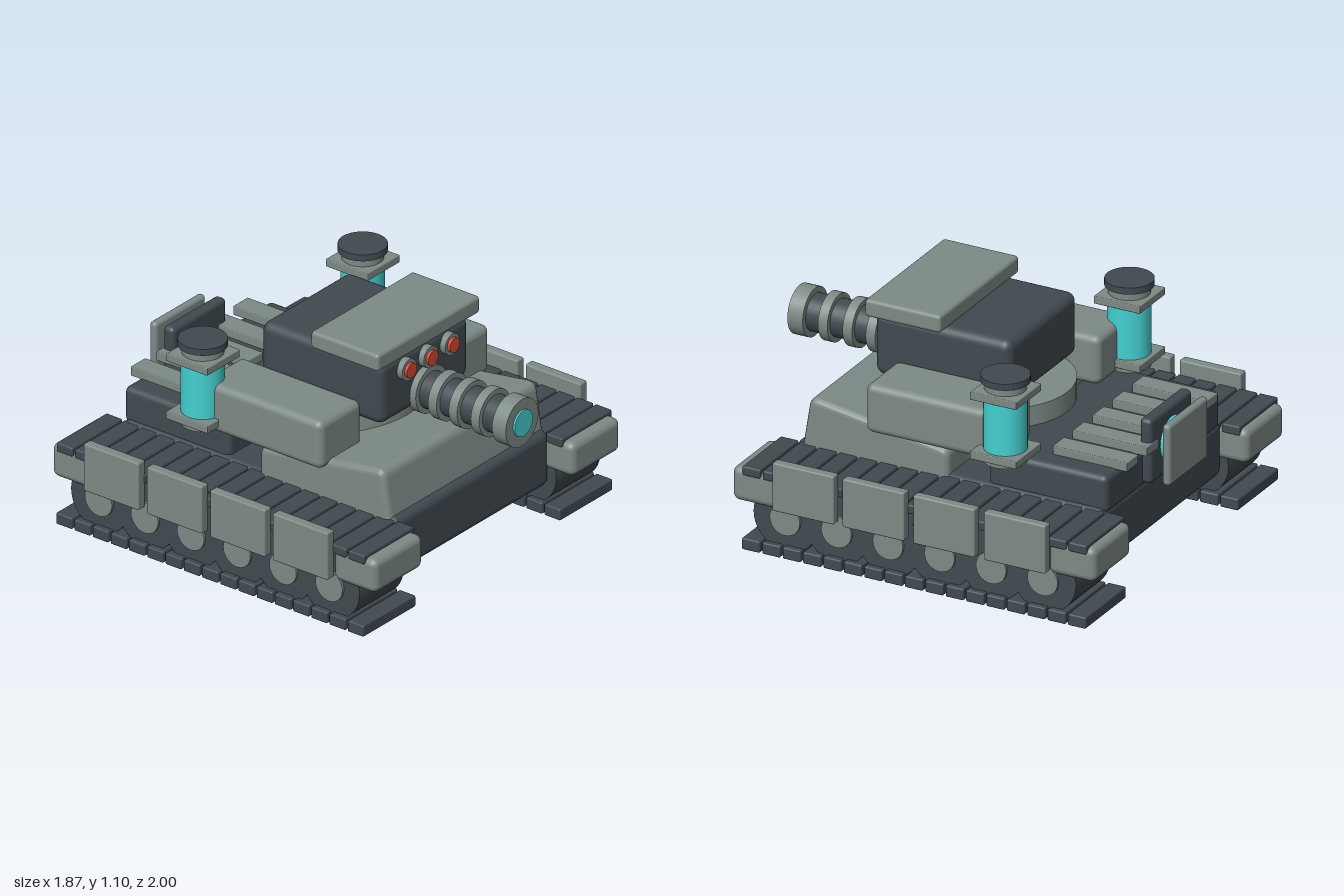
import * as THREE from 'three';
import { RoundedBoxGeometry } from 'three/addons/geometries/RoundedBoxGeometry.js';

const mat = (name, color) => Object.assign(new THREE.MeshStandardMaterial({ color }), { name });

export function createModel() {
  const model = new THREE.Group();
  model.name = 'tank';
  const grey = mat('armourGrey', 0x7d8a86);
  const dark = mat('darkSteel', 0x414a50);
  const cyan = mat('glowCyan', 0x45d0d0);
  const red = mat('sensorRed', 0xd04a35);

  const add = (name, geometry, material, x = 0, y = 0, z = 0) => {
    const mesh = new THREE.Mesh(geometry, material);
    mesh.name = name;
    mesh.position.set(x, y, z);
    model.add(mesh);
    return mesh;
  };
  // Rounded box given by its limits on each axis
  const box = (name, material, [x0, x1], [y0, y1], [z0, z1], r = 0.01) =>
    add(name, new RoundedBoxGeometry(x1 - x0, y1 - y0, z1 - z0, 3, r), material,
      (x0 + x1) / 2, (y0 + y1) / 2, (z0 + z1) / 2);
  // Upright cylinder between two heights
  const post = (name, material, r, y0, y1, x, z) =>
    add(name, new THREE.CylinderGeometry(r, r, y1 - y0, 40), material, x, (y0 + y1) / 2, z);
  // Cylinder lying along z
  const rod = (name, material, r, z0, z1, x, y) => {
    const g = new THREE.CylinderGeometry(r, r, z1 - z0, 40).rotateX(Math.PI / 2);
    return add(name, g, material, x, y, (z0 + z1) / 2);
  };
  // Cylinder lying along x
  const axle = (name, material, r, x0, x1, y, z) => {
    const g = new THREE.CylinderGeometry(r, r, x1 - x0, 40).rotateZ(Math.PI / 2);
    return add(name, g, material, (x0 + x1) / 2, y, z);
  };

  // Hull and engine deck
  box('lowerHull', dark, [-0.56, 0.56], [0.14, 0.42], [-0.86, 0.71], 0.04);
  box('engineDeck', dark, [-0.53, 0.53], [0.39, 0.575], [-0.865, -0.26], 0.03);

  // Sloped front armour, a side profile (z, y) extruded across the hull
  const profile = new THREE.Shape();
  profile.moveTo(-0.07, 0.345);
  profile.lineTo(0.685, 0.345);
  profile.lineTo(0.645, 0.6);
  profile.quadraticCurveTo(0.638, 0.65, 0.59, 0.642);
  profile.lineTo(-0.03, 0.548);
  profile.quadraticCurveTo(-0.07, 0.54, -0.07, 0.5);
  const width = 1.12, bevel = 0.03;
  const glacis = new THREE.ExtrudeGeometry(profile, {
    depth: width - 2 * bevel, bevelSize: bevel, bevelThickness: bevel,
    bevelOffset: -bevel, bevelSegments: 4, curveSegments: 8,
  });
  glacis.translate(0, 0, -(width - 2 * bevel) / 2).rotateY(-Math.PI / 2);
  add('frontArmour', glacis, grey);

  // Deck vents
  for (let i = -2; i <= 2; i++) {
    const x = i * 0.185;
    box('deckVent', grey, [x - 0.053, x + 0.053], [0.57, 0.615], [-0.91, -0.53], 0.004);
  }

  // Rear power unit
  box('rearMount', dark, [-0.195, 0.195], [0.41, 0.728], [-0.907, -0.847], 0.022);
  rod('rearCell', cyan, 0.107, -0.96, -0.9, 0, 0.565);
  box('rearPlate', grey, [-0.182, 0.182], [0.415, 0.715], [-0.996, -0.955], 0.018);

  // Turret
  post('turretRing', grey, 0.355, 0.53, 0.672, 0, -0.02);
  post('turretNeck', dark, 0.2, 0.66, 0.72, 0, 0.05);
  box('turret', dark, [-0.32, 0.32], [0.705, 1.015], [-0.255, 0.44], 0.045);
  box('turretRoof', grey, [-0.37, 0.37], [1.008, 1.095], [0.073, 0.46], 0.018);

  // Sensor eyes
  for (const x of [-0.155, 0, 0.155]) {
    rod('sensorRim', grey, 0.052, 0.42, 0.47, x, 0.94);
    rod('sensorEye', red, 0.036, 0.43, 0.485, x, 0.94);
  }

  // Gun
  const gunY = 0.778;
  rod('gunBarrel', dark, 0.09, 0.4, 0.95, 0, gunY);
  for (const z of [0.45, 0.568, 0.686, 0.812]) {
    rod('barrelBand', grey, 0.115, z - 0.024, z + 0.024, 0, gunY);
  }
  rod('muzzle', grey, 0.118, 0.912, 0.99, 0, gunY);
  rod('muzzleGlow', cyan, 0.065, 0.93, 1.0, 0, gunY);

  // Parts repeated on both sides
  for (const s of [-1, 1]) {
    const span = (a, b) => (s > 0 ? [a, b] : [-b, -a]);

    box('sidePod', grey, span(0.31, 0.612), [0.565, 0.805], [-0.365, 0.325], 0.035);

    // Power canister
    const cx = s * 0.577, cz = -0.375;
    post('canisterFoot', grey, 0.1, 0.575, 0.61, cx, cz);
    post('canisterCell', cyan, 0.1, 0.62, 0.91, cx, cz);
    for (const y of [0.6, 0.893]) {
      box('canisterPlate', grey, [cx - 0.118, cx + 0.118], [y, y + 0.038], [cz - 0.118, cz + 0.118], 0.004);
    }
    post('canisterCollar', grey, 0.096, 0.92, 0.972, cx, cz);
    post('canisterCap', dark, 0.113, 0.968, 1.0, cx, cz);

    // Road wheels with hubs
    for (let i = 0; i < 6; i++) {
      const z = 0.585 - i * 0.263;
      axle('roadWheel', dark, 0.165, ...span(0.55, 0.87), 0.19, z);
      axle('wheelHub', grey, 0.077, ...span(0.8, 0.882), 0.185, z);
    }

    // Track links along the ground and on top
    for (let i = 0; i < 17; i++) {
      const z = 0.75 - i * 0.104;
      box('groundLink', dark, span(0.52, 0.9), [0, 0.057], [z - 0.046, z + 0.046], 0.008);
      box('topLink', dark, span(0.532, 0.896), [0.365, 0.41], [z - 0.046, z + 0.046], 0.008);
    }
    // Dark bed under the top links
    box('trackBed', dark, span(0.55, 0.87), [0.3, 0.375], [-0.88, 0.74], 0.01);

    // Fenders at both ends
    box('frontFender', grey, span(0.537, 0.888), [0.225, 0.393], [0.61, 0.855], 0.035);
    box('rearFender', grey, span(0.537, 0.888), [0.225, 0.393], [-0.998, -0.76], 0.035);

    // Side skirts
    for (const z of [0.463, 0.105, -0.255, -0.616]) {
      box('sideSkirt', grey, span(0.887, 0.937), [0.245, 0.483], [z - 0.157, z + 0.157], 0.008);
    }
  }
  return model;
}
